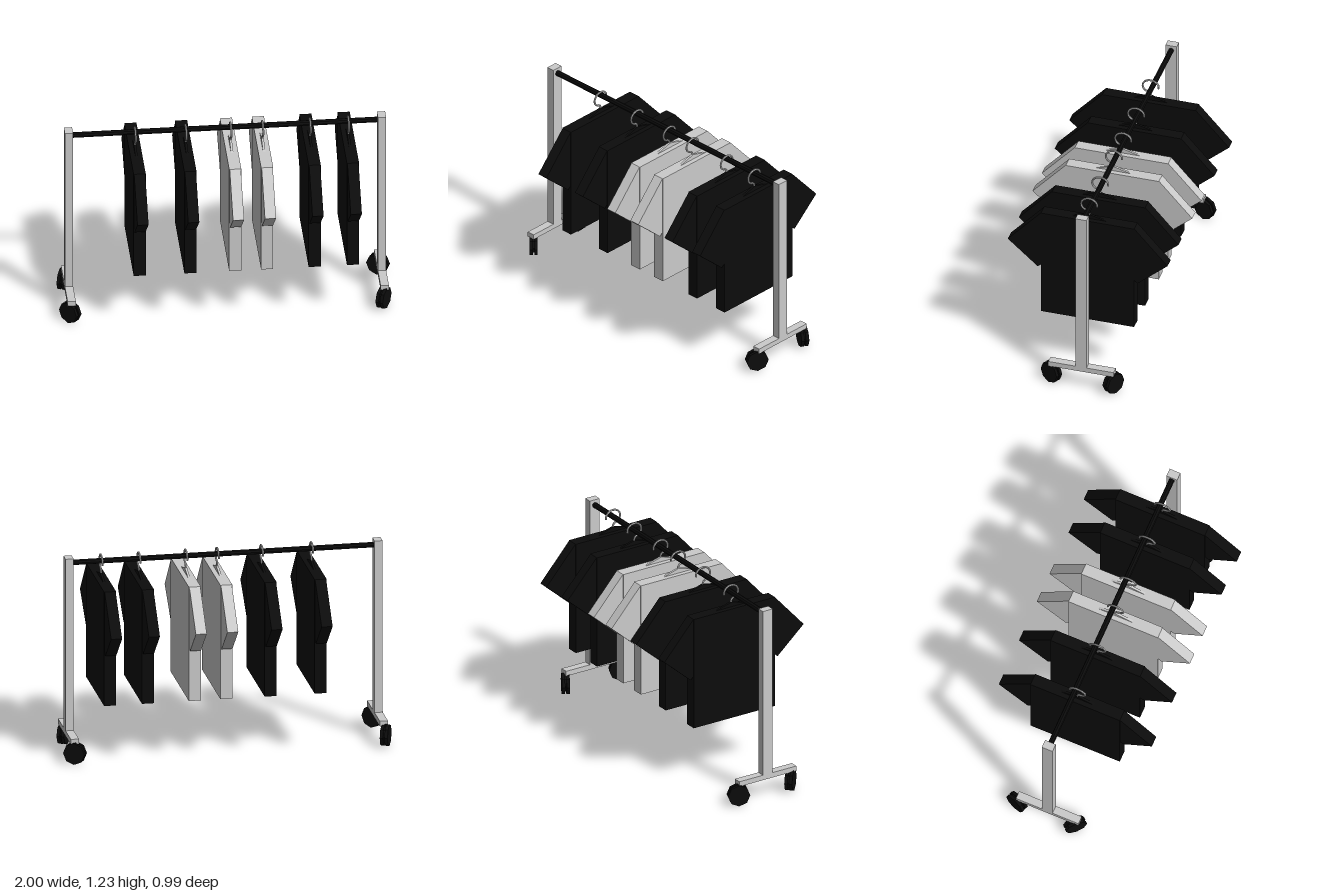
import * as THREE from 'three';

const grey = new THREE.MeshStandardMaterial({ color: 0xcccccc, flatShading: true });
const black = new THREE.MeshStandardMaterial({ color: 0x0c0c0c, flatShading: true });

function add(parent, name, geometry, material, x = 0, y = 0, z = 0) {
  const mesh = new THREE.Mesh(geometry, material);
  mesh.name = name;
  mesh.position.set(x, y, z);
  parent.add(mesh);
  return mesh;
}

// Flat panel outlined in [z, y] points, centred on x = 0
function panel(points, thickness) {
  const shape = new THREE.Shape(points.map(([z, y]) => new THREE.Vector2(z, y)));
  const geometry = new THREE.ExtrudeGeometry(shape, { depth: thickness, bevelEnabled: false });
  geometry.translate(0, 0, -thickness / 2);
  return geometry.rotateY(-Math.PI / 2);
}

// Twin-wheel caster, swivelled about the vertical
function makeCaster(x, z, swivel) {
  const caster = new THREE.Group();
  caster.name = 'caster';
  for (const side of [-1, 1]) {
    const wheel = new THREE.CylinderGeometry(0.067, 0.067, 0.019, 8).rotateX(Math.PI / 2);
    add(caster, 'wheel', wheel, black, 0, 0.072, side * 0.014);
  }
  const hub = new THREE.CylinderGeometry(0.055, 0.055, 0.012, 8).rotateX(Math.PI / 2);
  add(caster, 'hub', hub, black, 0, 0.075, 0);
  add(caster, 'stem', new THREE.CylinderGeometry(0.01, 0.01, 0.05, 8), black, 0, 0.115, 0);
  caster.position.set(x, 0, z);
  caster.rotation.y = swivel;
  return caster;
}

// Hook: short neck, then most of a circle open toward the back
function hookGeometry() {
  const points = [new THREE.Vector3(0, 1.1, 0), new THREE.Vector3(0, 1.125, 0)];
  for (let i = 0; i <= 10; i++) {
    const a = THREE.MathUtils.degToRad(-80 + i * 27);
    points.push(new THREE.Vector3(0, 1.184 + Math.sin(a) * 0.044, Math.cos(a) * 0.05));
  }
  return new THREE.TubeGeometry(new THREE.CatmullRomCurve3(points), 32, 0.006, 6);
}

// Shirt on a hanger
function makeShirt(x, material) {
  const shirt = new THREE.Group();
  shirt.name = 'hangingShirt';
  add(shirt, 'shirtBody', new THREE.BoxGeometry(0.072, 0.71, 0.576), material, 0, 0.735, 0);
  for (const s of [-1, 1]) {
    const outline = [[0.27, 1.09], [0.288, 1.09], [0.494, 0.861], [0.309, 0.698], [0.27, 0.732]];
    add(shirt, 'sleeve', panel(outline.map(([z, y]) => [z * s, y]), 0.066), material);
  }
  add(shirt, 'hangerShoulders', panel([[-0.126, 1.085], [0.126, 1.085], [0, 1.12]], 0.014), material);
  add(shirt, 'hangerHook', hookGeometry(), grey);
  shirt.position.x = x;
  return shirt;
}

export function createModel() {
  const rack = new THREE.Group();
  rack.name = 'clothesRack';

  // Uprights and feet
  for (const s of [-1, 1]) {
    add(rack, 'post', new THREE.BoxGeometry(0.049, 1.08, 0.069), grey, s * 0.932, 0.69, -0.015);
    add(rack, 'foot', new THREE.BoxGeometry(0.049, 0.032, 0.404), grey, s * 0.932, 0.145, -0.015);
  }

  // Hanging rail
  add(rack, 'rail', new THREE.CylinderGeometry(0.017, 0.017, 1.82, 8).rotateZ(Math.PI / 2), black, 0, 1.197, -0.015);

  // Casters, each turned its own way
  rack.add(makeCaster(-0.938, 0.157, -Math.PI / 4));
  rack.add(makeCaster(0.925, 0.176, 1.07));
  rack.add(makeCaster(-0.943, -0.215, 1.2));
  rack.add(makeCaster(0.93, -0.208, -0.52));

  // Clothes
  for (const x of [-0.537, -0.235, 0.505, 0.733]) rack.add(makeShirt(x, black));
  for (const x of [0.032, 0.222]) rack.add(makeShirt(x, grey));

  return rack;
}
